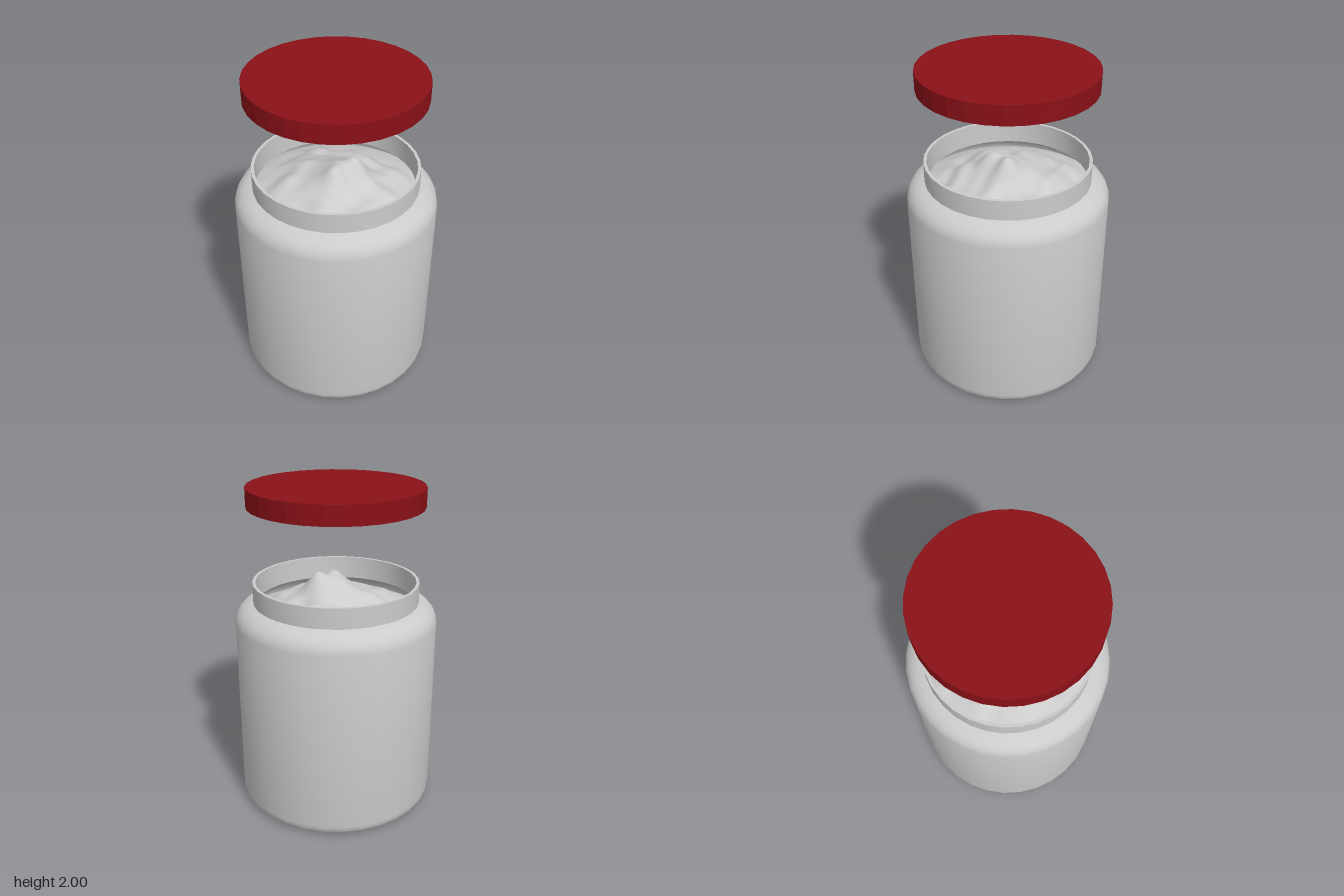
import * as THREE from 'three';
import { toCreasedNormals, mergeVertices } from 'three/addons/utils/BufferGeometryUtils.js';

const SIDES = 32;

function lathe(points, sides = SIDES) {
  return new THREE.LatheGeometry(points.map(([r, y]) => new THREE.Vector2(r, y)), sides);
}

// Height of the heap: a cone with two soft peaks and shallow ripples
function heapHeight(x, z, radius) {
  const t = Math.min(1, Math.hypot(x, z) / radius);
  const bump = (cx, cz, w) => Math.exp(-((x - cx) ** 2 + (z - cz) ** 2) / (w * w));
  const ripple = Math.sin(17 * x + 5 * z + 1) * Math.cos(14 * z - 6 * x)
    + 0.5 * Math.sin(27 * z - 19 * x + 2) * Math.cos(23 * x + 8 * z);
  return 1.2 + 0.24 * (1 - t) + 0.088 * bump(0.09, 0.08, 0.07) + 0.065 * bump(-0.07, 0.08, 0.07)
    + 0.02 * ripple * Math.sin(Math.PI * t) ** 2;
}

export function createModel() {
  const group = new THREE.Group();
  const grey = new THREE.MeshStandardMaterial({ color: 0xcccccc });
  const red = new THREE.MeshStandardMaterial({ color: 0x8a1118, flatShading: true });

  const add = (name, geometry, material) => {
    const mesh = new THREE.Mesh(geometry, material);
    mesh.name = name;
    group.add(mesh);
  };

  // Jar: outside from the base up to the rim, then back down the inside
  const jar = lathe([
    [0, 0], [0.575, 0], [0.597, 0.013], [0.612, 0.035], [0.617, 0.065],
    [0.617, 1.19], [0.61, 1.225], [0.592, 1.255], [0.565, 1.28], [0.535, 1.296], [0.505, 1.306],
    [0.505, 1.43], [0.486, 1.43], [0.486, 1.29],
    [0.545, 1.265], [0.58, 1.235], [0.597, 1.19], [0.597, 0.06], [0.57, 0.02], [0, 0.02],
  ]);
  add('jar', toCreasedNormals(jar, 0.6), grey);

  // Heap of powder filling the jar
  const radius = 0.59, rings = 28;
  const cone = Array.from({ length: rings + 1 }, (_, i) => [radius * (1 - i / rings), 1.2]);
  let heap = lathe(cone, 72);
  const p = heap.attributes.position;
  for (let i = 0; i < p.count; i++) p.setY(i, heapHeight(p.getX(i), p.getZ(i), radius));
  heap.deleteAttribute('normal');
  heap.deleteAttribute('uv');
  heap = mergeVertices(heap, 1e-5);
  heap.computeVertexNormals();
  add('powderHeap', heap, grey);

  // Lid: a shallow cap, open below, floating above the jar
  const lid = lathe([
    [0, 1.98], [0.507, 1.98], [0.507, 1.885], [0.525, 1.885], [0.525, 2], [0, 2],
  ]);
  add('lid', lid, red);

  return group;
}
